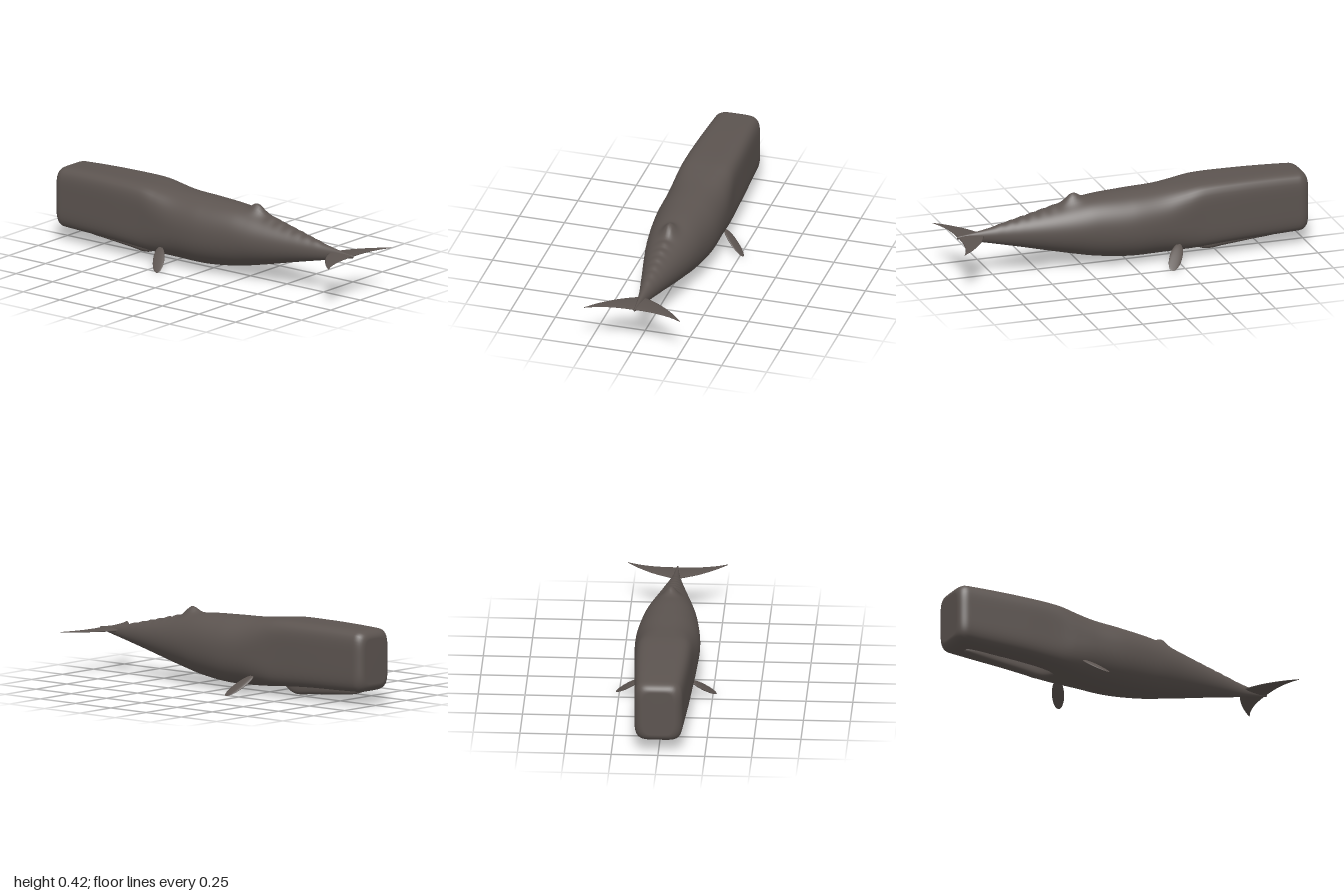
import * as THREE from 'three';

const skin = new THREE.MeshStandardMaterial({ color: 0x5c5450 });
skin.name = 'greyBrownSkin';

// Joins closed rings of points into a smooth, capped skin.
function loft(name, rings) {
  const n = rings[0].length, pos = [], idx = [];
  rings.forEach(r => r.forEach(p => pos.push(...p)));
  for (let i = 0; i < rings.length - 1; i++) {
    for (let j = 0; j < n; j++) {
      const a = i * n + j, b = i * n + (j + 1) % n;
      idx.push(a, b, a + n, b, b + n, a + n);
    }
  }
  [0, rings.length - 1].forEach((i, end) => {
    const c = pos.length / 3;
    pos.push(...[0, 1, 2].map(k => rings[i].reduce((s, p) => s + p[k], 0) / n));
    for (let j = 0; j < n; j++) {
      const a = i * n + j, b = i * n + (j + 1) % n;
      if (end) idx.push(a, b, c); else idx.push(b, a, c);
    }
  });
  const g = new THREE.BufferGeometry();
  g.setAttribute('position', new THREE.Float32BufferAttribute(pos, 3));
  g.setIndex(idx);
  g.computeVertexNormals();
  const mesh = new THREE.Mesh(g, skin);
  mesh.name = name;
  return mesh;
}

// Superellipse section across z; a higher power is boxier.
function section(z, hw, bottom, top, power, count) {
  const mid = (bottom + top) / 2, hh = (top - bottom) / 2, ring = [];
  for (let j = 0; j < count; j++) {
    const t = j / count * Math.PI * 2, c = Math.cos(t), s = Math.sin(t);
    const k = Math.pow(Math.abs(c) ** power + Math.abs(s) ** power, -1 / power);
    ring.push([c * k * hw, mid + s * k * hh, z]);
  }
  return ring;
}

// Smooth lookup through rows of [z, ...values].
function profile(rows) {
  const f = new THREE.CubicInterpolant(rows.map(r => r[0]), rows.flatMap(r => r.slice(1)), rows[0].length - 1);
  return z => Array.from(f.evaluate(z));
}

// Height of the back hump and the row of knuckles behind it.
function ridge(z) {
  const hump = 0.043 * Math.exp(-(((z - 0.3) / (z < 0.3 ? 0.045 : 0.05)) ** 2));
  const knuckles = z > 0.38 && z < 0.74
    ? 0.011 * Math.abs(Math.sin((z - 0.38) / 0.06 * Math.PI)) * (1 - (z - 0.38) / 0.5) : 0;
  return hump + knuckles;
}

function body() {
  // z, half width, bottom, top, boxiness
  const at = profile([
    [-1.0, 0.126, 0.078, 0.408, 5], [-0.8, 0.137, 0.073, 0.416, 5], [-0.6, 0.147, 0.069, 0.419, 5],
    [-0.4, 0.155, 0.056, 0.418, 4.4], [-0.3, 0.163, 0.045, 0.41, 3.2], [-0.2, 0.169, 0.037, 0.402, 2.5],
    [0, 0.172, 0.033, 0.396, 2.2], [0.2, 0.15, 0.055, 0.386, 2.1], [0.3, 0.134, 0.075, 0.37, 2],
    [0.4, 0.113, 0.098, 0.347, 2], [0.6, 0.067, 0.146, 0.303, 2], [0.8, 0.024, 0.192, 0.262, 2],
    [0.95, 0.005, 0.226, 0.24, 2],
  ]);
  const zs = [], R = 0.055;
  for (let i = 0; i < 10; i++) zs.push(-1 + R * (1 - Math.cos(i / 10 * Math.PI / 2)));
  for (let i = 0; i <= 150; i++) zs.push(-1 + R + (1.95 - R) * i / 150);
  return loft('body', zs.map(z => {
    const [hw, bottom, top, power] = at(z);
    // rounded edge around the blunt snout
    const d = Math.max(0, R - (z + 1)), inset = R - Math.sqrt(Math.max(0, R * R - d * d));
    const ring = section(z, hw - inset * 0.8, bottom + inset * 0.8, top - inset * 0.8, power, 72);
    const mid = (bottom + top) / 2;
    return ring.map(([x, y]) => [x,
      y > mid ? y + ridge(z) * Math.exp(-((x / 0.035) ** 2)) : y, z]);
  }));
}

function jaw() {
  // z, half width, bottom
  const at = profile([[-0.9, 0.012, 0.064], [-0.87, 0.02, 0.054], [-0.7, 0.024, 0.035],
    [-0.55, 0.027, 0.021], [-0.45, 0.028, 0.013], [-0.41, 0.024, 0.024], [-0.36, 0.012, 0.052]]);
  const rings = [];
  for (let i = 0; i <= 40; i++) {
    const z = -0.9 + 0.54 * i / 40, [hw, bottom] = at(z);
    rings.push(section(z, hw, bottom, 0.095, 3.2, 24));
  }
  return loft('lowerJaw', rings);
}

function flukes() {
  // distance from centre, leading edge, trailing edge, half thickness
  const at = profile([[0, 0.795, 0.945, 0.01], [0.05, 0.818, 0.946, 0.0075], [0.1, 0.845, 0.95, 0.006],
    [0.16, 0.888, 0.96, 0.0045], [0.22, 0.942, 0.978, 0.003], [0.267, 0.994, 1.0, 0.001]]);
  const rings = [];
  for (let i = -24; i <= 24; i++) {
    const x = 0.267 * i / 24, [lead, trail, thick] = at(Math.abs(x)), ring = [];
    for (let j = 0; j < 16; j++) {
      const t = j / 16 * Math.PI * 2;
      ring.push([x, 0.233 + Math.cos(t) * thick, (lead + trail) / 2 + Math.sin(t) * (trail - lead) / 2]);
    }
    rings.push(ring);
  }
  return loft('tailFlukes', rings);
}

// Flat paddle pointing out, down and back; side is +1 for left.
function flipper(side) {
  const g = new THREE.SphereGeometry(1, 28, 20);
  const p = g.attributes.position;
  for (let i = 0; i < p.count; i++) {
    const y = p.getY(i);
    p.setXYZ(i, p.getX(i) * 0.034, y * 0.092, p.getZ(i) * 0.008 * (1 - 0.5 * y));
  }
  const along = new THREE.Vector3(0.78 * 0.88 * side, -0.62 * 0.88, 0.47).normalize();
  const normal = new THREE.Vector3(0.62 * side, 0.78, 0).normalize();
  const chord = new THREE.Vector3().crossVectors(along, normal);
  g.applyMatrix4(new THREE.Matrix4().makeBasis(chord, along, normal).setPosition(0.205 * side, 0.055, -0.213));
  g.computeVertexNormals();
  const mesh = new THREE.Mesh(g, skin);
  mesh.name = side > 0 ? 'leftFlipper' : 'rightFlipper';
  return mesh;
}

export function createModel() {
  const whale = new THREE.Group();
  whale.name = 'whale';
  whale.add(body(), jaw(), flukes(), flipper(1), flipper(-1));
  return whale;
}
